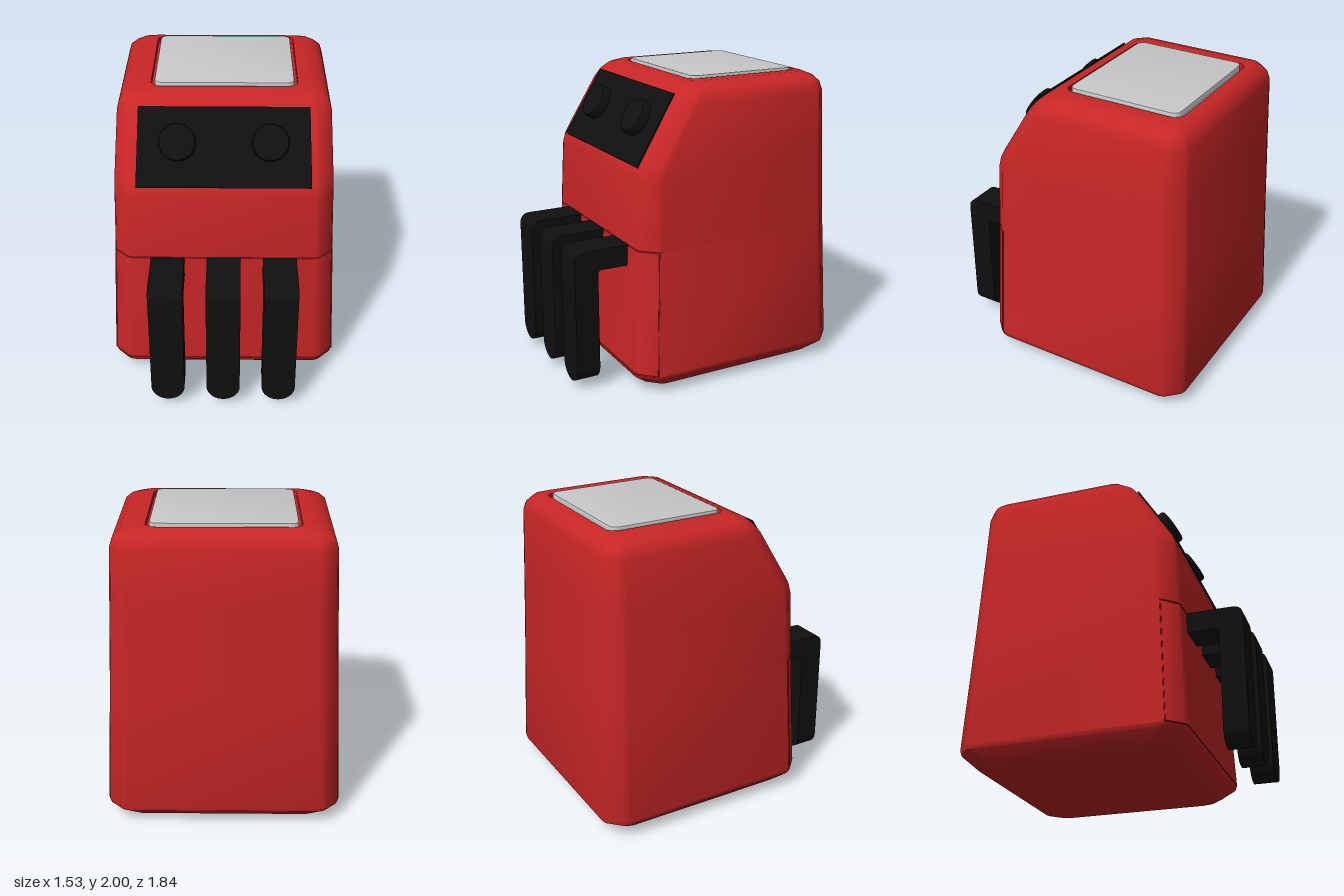
import * as THREE from 'three';
import { toCreasedNormals } from 'three/addons/utils/BufferGeometryUtils.js';

const mat = (name, color) => {
  const m = new THREE.MeshStandardMaterial({ color });
  m.name = name;
  return m;
};

// Horizontal cross-section: rectangle with softened chamfer corners
function ring({ y, w, back, front, cb, cf }) {
  const cut = [[1.2, 0], [0.88, 0.1], [0.1, 0.88], [0, 1.2]];
  const corner = (sx, z, sz, c, flip) => {
    const pts = cut.map(([a, b]) => [sx * (w - a * c), y, z - sz * b * c]);
    return flip ? pts.reverse() : pts;
  };
  return [
    ...corner(1, front, 1, cf, false), ...corner(1, back, -1, cb, true),
    ...corner(-1, back, -1, cb, false), ...corner(-1, front, 1, cf, true),
  ];
}

// Skin a stack of cross-sections from bottom to top and cap both ends
function loft(levels) {
  const rings = levels.map(ring);
  const n = rings[0].length;
  const pos = rings.flat(2);
  const index = [];
  for (let i = 0; i < rings.length - 1; i++) {
    for (let j = 0; j < n; j++) {
      const k = (j + 1) % n;
      const a = i * n + j, b = i * n + k, c = b + n, d = a + n;
      index.push(a, b, c, a, c, d);
    }
  }
  [0, rings.length - 1].forEach((r, top) => {
    const centre = pos.length / 3;
    pos.push(0, levels[r].y, (levels[r].back + levels[r].front) / 2);
    for (let j = 0; j < n; j++) {
      const a = r * n + j, b = r * n + (j + 1) % n;
      index.push(centre, top ? a : b, top ? b : a);
    }
  });
  const g = new THREE.BufferGeometry();
  g.setAttribute('position', new THREE.Float32BufferAttribute(pos, 3));
  g.setIndex(index);
  return toCreasedNormals(g, 0.6);
}

const level = (y, w, back, front, cb, cf = cb) => ({ y, w, back, front, cb, cf });

export function createModel() {
  const red = mat('red', 0xc82626);
  const black = mat('black', 0x101010);
  const grey = mat('light grey', 0xc6c8ca);
  const model = new THREE.Group();
  const add = (name, geometry, material, parent = model) => {
    const mesh = new THREE.Mesh(geometry, material);
    mesh.name = name;
    parent.add(mesh);
    return mesh;
  };

  // Housing with a drawer opening in front, slanted control face and lid recess
  add('housing', loft([
    level(0, 0.61, -0.77, 0.44, 0.08),
    level(0.02, 0.665, -0.825, 0.49, 0.1),
    level(0.1, 0.755, -0.912, 0.578, 0.11),
    level(0.128, 0.763, -0.918, 0.587, 0.11),
    level(0.128, 0.763, -0.918, 0.474, 0.11, 0.002),
    level(0.962, 0.725, -0.883, 0.444, 0.105, 0.002),
    level(0.962, 0.725, -0.883, 0.55, 0.105),
    level(1.4, 0.708, -0.865, 0.53, 0.1),
    level(1.47, 0.706, -0.862, 0.512, 0.1),
    level(1.52, 0.704, -0.86, 0.485, 0.1),
    level(1.86, 0.69, -0.845, 0.275, 0.09),
    level(1.92, 0.672, -0.825, 0.225, 0.08),
    level(1.96, 0.63, -0.79, 0.18, 0.07),
    level(1.985, 0.555, -0.74, 0.12, 0.06),
    level(1.985, 0.475, -0.725, 0.09, 0.045),
    level(1.95, 0.475, -0.725, 0.09, 0.045),
  ]), red);

  // Drawer front, separated by a narrow gap
  add('drawer', loft([
    level(0.134, 0.763, 0.48, 0.587, 0.002, 0.11),
    level(0.955, 0.725, 0.45, 0.55, 0.002, 0.105),
  ]), red);

  // Lid plate in the top recess
  const lw = 0.445, lz = 0.375, r = 0.05;
  const lidShape = new THREE.Shape();
  lidShape.moveTo(-lw + r, -lz);
  lidShape.lineTo(lw - r, -lz).quadraticCurveTo(lw, -lz, lw, -lz + r);
  lidShape.lineTo(lw, lz - r).quadraticCurveTo(lw, lz, lw - r, lz);
  lidShape.lineTo(-lw + r, lz).quadraticCurveTo(-lw, lz, -lw, lz - r);
  lidShape.lineTo(-lw, -lz + r).quadraticCurveTo(-lw, -lz, -lw + r, -lz);
  const lid = new THREE.ExtrudeGeometry(lidShape, {
    depth: 0.04, bevelThickness: 0.008, bevelSize: 0.008, bevelSegments: 2,
  });
  lid.rotateX(-Math.PI / 2).translate(0, 1.952, -0.315);
  add('lidPlate', toCreasedNormals(lid, 0.6), grey);

  // Slanted control panel with two round knobs
  const controls = new THREE.Group();
  controls.name = 'controls';
  controls.position.set(0, 1.7, 0.385);
  controls.rotation.x = -0.55;
  model.add(controls);
  const panelShape = new THREE.Shape([
    new THREE.Vector2(-0.56, -0.258), new THREE.Vector2(0.56, -0.258),
    new THREE.Vector2(0.545, 0.258), new THREE.Vector2(-0.545, 0.258),
  ]);
  const panel = new THREE.ExtrudeGeometry(panelShape, { depth: 0.009, bevelEnabled: false });
  panel.translate(0, 0, -0.007);
  add('controlPanel', panel, black, controls);
  for (const side of [-1, 1]) {
    const profile = [[0.12, -0.01], [0.12, 0.05], [0.113, 0.062], [0.1, 0.066], [0, 0.066]];
    const knob = new THREE.LatheGeometry(profile.map(p => new THREE.Vector2(...p)), 40);
    knob.rotateX(Math.PI / 2);
    add('knob', toCreasedNormals(knob, 0.6), black, controls).position.set(side * 0.295, 0.03, 0);
  }

  // Handle bars: bent arm out of the drawer, then a hanging grip with a round tip
  const half = 0.111;
  const arm = new THREE.Shape();
  arm.moveTo(0.5, 0.82);
  arm.lineTo(0.735, 0.82).quadraticCurveTo(0.76, 0.82, 0.76, 0.795);
  arm.lineTo(0.76, 0.7);
  arm.lineTo(0.92, 0.7);
  arm.lineTo(0.92, 0.885).quadraticCurveTo(0.92, 0.958, 0.847, 0.958);
  arm.lineTo(0.5, 0.958);
  const armGeo = new THREE.ExtrudeGeometry(arm, { depth: half * 2, bevelEnabled: false });
  armGeo.rotateY(-Math.PI / 2).translate(half, 0, 0);
  const grip = new THREE.Shape();
  grip.moveTo(half, 0.7);
  grip.lineTo(-half, 0.7);
  grip.lineTo(-half, 0.05 + half);
  grip.absarc(0, 0.05 + half, half, Math.PI, Math.PI * 2, false);
  const gripGeo = new THREE.ExtrudeGeometry(grip, { depth: 0.16, bevelEnabled: false, curveSegments: 20 });
  gripGeo.translate(0, 0, 0.76);
  for (const x of [-0.37, 0, 0.37]) {
    const bar = new THREE.Group();
    bar.name = 'handleBar';
    bar.position.x = x;
    add('handleArm', toCreasedNormals(armGeo, 0.6), black, bar);
    add('handleGrip', toCreasedNormals(gripGeo, 0.6), black, bar);
    model.add(bar);
  }
  return model;
}
